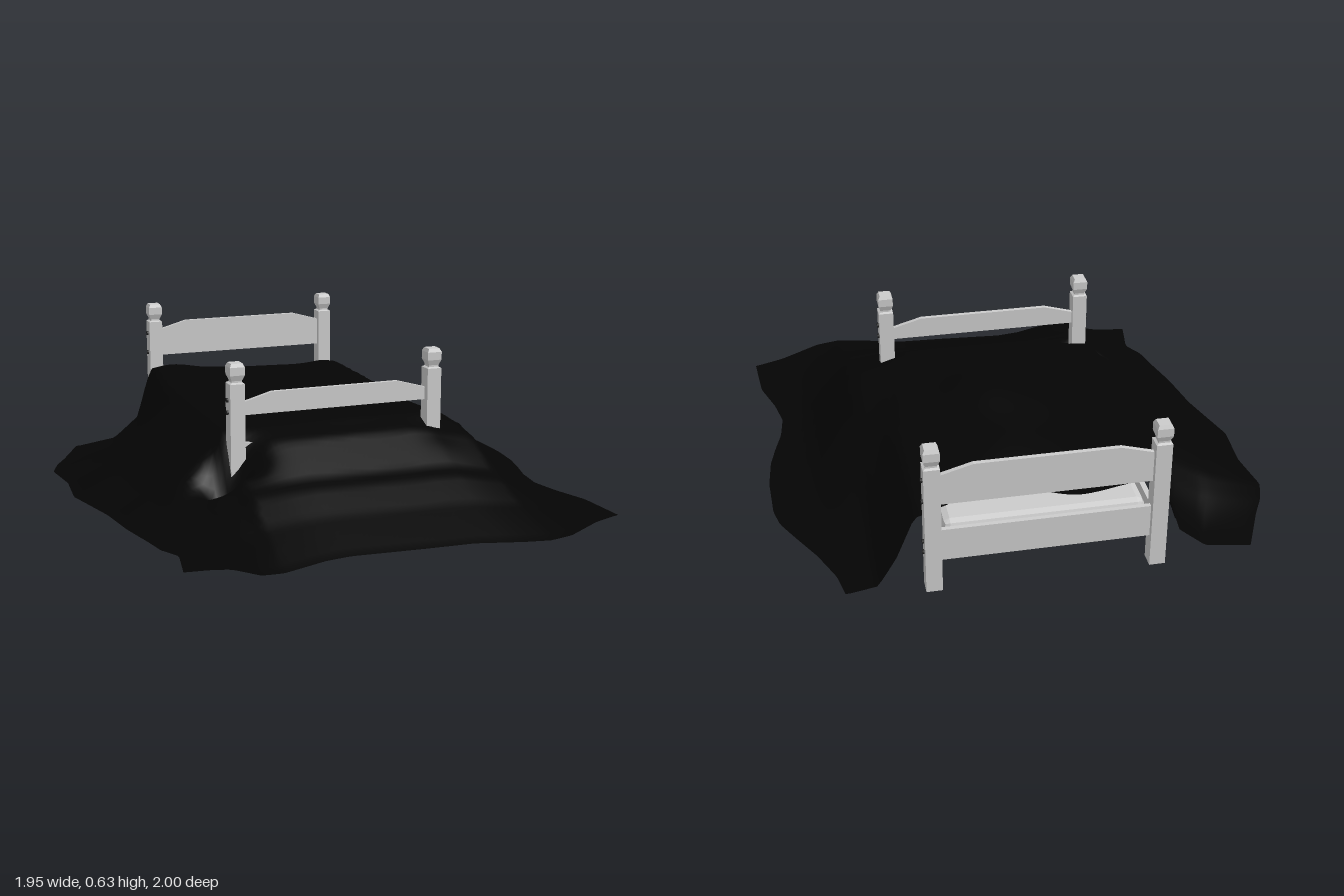
import * as THREE from 'three';
import { RoundedBoxGeometry } from 'three/addons/geometries/RoundedBoxGeometry.js';

const wood = new THREE.MeshStandardMaterial({ color: 0xcccccc, flatShading: true });
const dark = new THREE.MeshStandardMaterial({ color: 0x222222 });
const cloth = new THREE.MeshStandardMaterial({ color: 0x040404, side: THREE.DoubleSide });

const CX = 0.01, POST_X = 0.415, HEAD_Z = -0.97, FOOT_Z = 0.265;

function add(parent, name, geometry, material, x = 0, y = 0, z = 0) {
  const mesh = new THREE.Mesh(geometry, material);
  mesh.name = name;
  mesh.position.set(x, y, z);
  parent.add(mesh);
  return mesh;
}
const box = (parent, name, w, h, d, x, y, z) =>
  add(parent, name, new THREE.BoxGeometry(w, h, d), wood, x, y, z);

// Split faces so every facet gets its own normal
function faceted(geometry) {
  const geo = geometry.index ? geometry.toNonIndexed() : geometry;
  geo.computeVertexNormals();
  return geo;
}

// Piecewise linear curve through [input, output] pairs
function curve(points, t) {
  if (t <= points[0][0]) return points[0][1];
  for (let i = 1; i < points.length; i++) {
    const [a, p] = points[i - 1], [b, q] = points[i];
    if (t <= b) return p + (q - p) * (t - a) / (b - a);
  }
  return points[points.length - 1][1];
}

// Square post with a stepped neck and a block finial, plus side bolts
function post(parent, name, x, z, top, side, boltHeights) {
  const g = new THREE.Group();
  g.name = name;
  const body = top - 0.08;
  box(g, 'postBody', 0.06, body - 0.03, 0.06, x, (body + 0.03) / 2, z);
  const profile = [[0.03, 0], [0.021, 0.005], [0.021, 0.012], [0.03, 0.034], [0.03, 0.066], [0.023, 0.08], [0, 0.08]]
    .map(([r, y]) => new THREE.Vector2(r * Math.SQRT2, y));
  add(g, 'finial', faceted(new THREE.LatheGeometry(profile, 4, Math.PI / 4)), wood, x, body, z);
  for (const y of boltHeights) {
    const bolt = add(g, 'bolt', new THREE.CylinderGeometry(0.009, 0.009, 0.008, 10), dark, x + side * 0.033, y, z);
    bolt.rotation.z = Math.PI / 2;
  }
  parent.add(g);
}

// End board whose top edge slopes down toward the posts
function archedBoard(parent, name, bottom, shoulder, top, z) {
  const s = new THREE.Shape();
  s.moveTo(-0.39, bottom);
  s.lineTo(0.39, bottom);
  s.lineTo(0.39, shoulder);
  s.lineTo(0.265, top);
  s.lineTo(-0.265, top);
  s.lineTo(-0.39, shoulder);
  s.closePath();
  const geo = new THREE.ExtrudeGeometry(s, { depth: 0.018, bevelEnabled: false });
  add(parent, name, geo, wood, CX, 0, z - 0.009);
}

// Outline of the draped sheet
const leftEdge = [[-0.92, -0.8], [-0.73, -0.89], [-0.64, -0.94], [-0.54, -0.975], [-0.35, -0.95], [-0.15, -0.965],
  [-0.02, -0.93], [0.13, -0.89], [0.33, -0.86], [0.5, -0.82], [0.6, -0.8], [0.68, -0.755], [0.85, -0.785]];
const rightEdge = [[-0.92, 0.74], [-0.82, 0.76], [-0.68, 0.82], [-0.53, 0.9], [-0.44, 0.945], [-0.35, 0.965],
  [-0.15, 0.97], [0, 0.955], [0.1, 0.93], [0.2, 0.9], [0.32, 0.885], [0.45, 0.91], [0.62, 0.96], [0.85, 0.975]];
const frontEdge = [[-0.785, 0.85], [-0.69, 0.86], [-0.62, 0.88], [-0.54, 0.975], [-0.46, 0.98], [-0.28, 0.915],
  [-0.18, 0.9], [0.1, 0.92], [0.3, 0.93], [0.48, 0.98], [0.58, 0.998], [0.68, 0.975], [0.85, 0.87], [0.97, 0.825]];

// Slope profiles: gentle along the bed, steep and hollow near the head
const leftGentle = [[0, 0], [0.36, 0.25], [0.64, 0.53], [0.89, 0.8], [1, 1]];
const leftSteep = [[0, 0], [0.5, 0.08], [0.81, 0.36], [0.93, 0.8], [1, 1]];
const rightGentle = [[0.4, 1], [0.47, 0.93], [0.58, 0.82], [0.68, 0.46], [0.78, 0.09], [0.87, 0]];
const rightSteep = [[0.4, 1], [0.48, 0.95], [0.55, 0.42], [0.62, 0.06], [0.74, 0]];
const frontSlope = [[0, 0], [0.3, 0.26], [0.49, 0.48], [0.58, 0.54], [0.83, 0.9], [1, 1]];
const bump = (x, z, cx, cz, rx, rz) => Math.exp(-(((x - cx) / rx) ** 2) - ((z - cz) / rz) ** 2);
const { lerp, smoothstep } = THREE.MathUtils;

function sheetGeometry() {
  const geo = new THREE.PlaneGeometry(1, 1, 80, 80);
  const pos = geo.attributes.position, uv = geo.attributes.uv;
  for (let i = 0; i < pos.count; i++) {
    const u = uv.getX(i), v = 1 - uv.getY(i);
    const row = -0.92 + 1.77 * v;
    const xl = curve(leftEdge, row), xr = curve(rightEdge, row);
    const x = xl + (xr - xl) * u;
    // Back edge is scooped forward near the pillow end
    const back = -0.92 + (x > -0.15 && x < 0.48 ? 0.05 * (1 - Math.cos((x + 0.15) / 0.63 * Math.PI * 2)) : 0);
    const front = curve(frontEdge, x);
    const z = back + (front - back) * v;
    const t = (x - xl) / (-0.44 - xl);
    const left = lerp(curve(leftSteep, t), curve(leftGentle, t), smoothstep(z, -0.85, -0.35));
    const right = lerp(curve(rightSteep, x), curve(rightGentle, x), smoothstep(z, -0.7, 0));
    const fall = curve(frontSlope, (front - z) / (front - 0.2));
    const crown = 0.32 + 0.083 * bump(x, z, 0.1, -0.22, 0.2, 0.25) + 0.033 * bump(x, z, -0.34, -0.87, 0.13, 0.15)
      + 0.04 * bump(x, z, 0.1, -0.6, 0.2, 0.2);
    // Hollows around the foot posts
    const dent = 0.21 * bump(x, z, -0.46, 0.34, 0.1, 0.08) + 0.015 * bump(x, z, 0.43, 0.32, 0.08, 0.08);
    pos.setXYZ(i, x, Math.max(0.002, crown * left * right * fall - dent), z);
  }
  geo.computeVertexNormals();
  return geo;
}

export function createModel() {
  const model = new THREE.Group();
  model.name = 'drapedBed';

  // Posts and long side rails, mirrored
  for (const side of [-1, 1]) {
    const x = CX + side * POST_X, label = side > 0 ? 'left' : 'right';
    post(model, label + 'HeadPost', x, HEAD_Z, 0.63, side, [0.495, 0.405, 0.235, 0.19]);
    post(model, label + 'FootPost', x, FOOT_Z, 0.6, side, [0.455, 0.405]);
    box(model, label + 'SideRail', 0.02, 0.13, 1.19, CX + side * 0.395, 0.215, -0.352);
  }

  // End boards and lower cross rails
  archedBoard(model, 'headboard', 0.39, 0.51, 0.545, HEAD_Z);
  archedBoard(model, 'footboard', 0.39, 0.44, 0.475, FOOT_Z - 0.005);
  box(model, 'headRail', 0.78, 0.13, 0.018, CX, 0.215, HEAD_Z);
  box(model, 'footRail', 0.78, 0.13, 0.018, CX, 0.215, FOOT_Z - 0.005);

  // Slats across the frame
  const slats = new THREE.Group();
  slats.name = 'slats';
  for (let i = 0; i < 10; i++) box(slats, 'slat', 0.77, 0.016, 0.085, CX, 0.176, -0.895 + i * 0.12);
  model.add(slats);

  // Mattress
  add(model, 'mattress', faceted(new RoundedBoxGeometry(0.75, 0.09, 1.15, 1, 0.03)), wood, CX, 0.245, -0.38);

  // Large sheet thrown over the bed and spreading onto the floor
  add(model, 'sheet', sheetGeometry(), cloth);
  return model;
}
